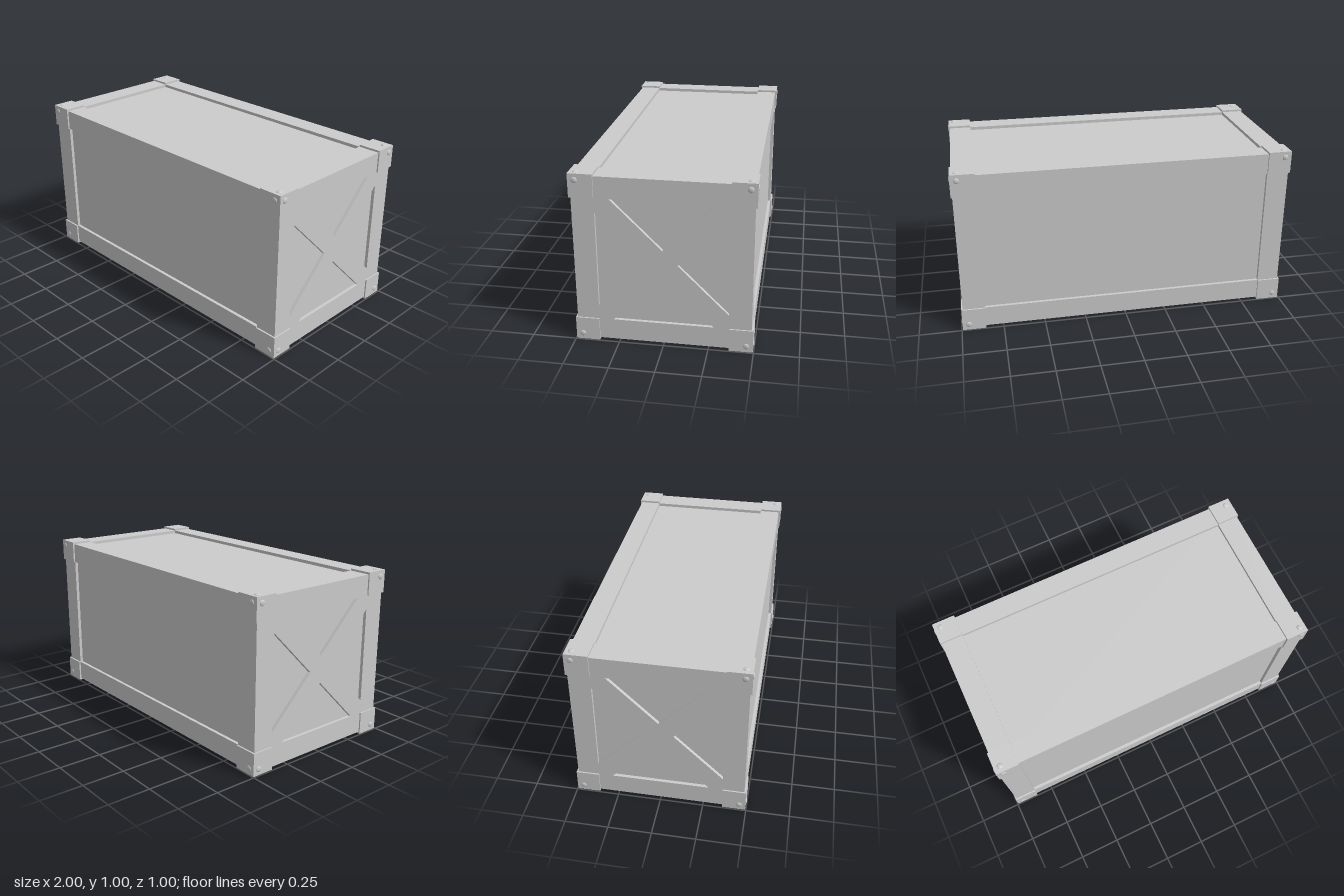
import * as THREE from 'three';

const MID = 0.497; // height of the crate's centre
const FRAME = { x: 0.986, y: 0.485, z: 0.486 }; // half sizes of the frame
const BLOCK = { x: 0.994, y: 0.497, z: 0.496 }; // half sizes over the corner blocks
const INNER = { x: 0.855, y: 0.362, z: 0.362 }; // inner edges of the boards
const RECESS = 0.019;

export function createModel() {
  const crate = new THREE.Group();
  crate.name = 'crate';
  const material = new THREE.MeshStandardMaterial({ color: 0xcccccc });

  const add = (geometry, name, x = 0, y = 0, z = 0) => {
    const mesh = new THREE.Mesh(geometry, material);
    mesh.name = name;
    mesh.position.set(x, y + MID, z);
    crate.add(mesh);
    return mesh;
  };

  // Recessed panels on all six sides
  add(new THREE.BoxGeometry(
    2 * (FRAME.x - RECESS), 2 * (FRAME.y - RECESS), 2 * (FRAME.z - RECESS)), 'panels');

  // End frame with a cross brace: a square plate with four triangular openings
  const plate = new THREE.Shape([
    new THREE.Vector2(-FRAME.z, -FRAME.y), new THREE.Vector2(FRAME.z, -FRAME.y),
    new THREE.Vector2(FRAME.z, FRAME.y), new THREE.Vector2(-FRAME.z, FRAME.y),
  ]);
  for (let i = 0; i < 4; i++) {
    const corners = [[-0.281, 0.362], [0, 0.081], [0.281, 0.362]];
    plate.holes.push(new THREE.Path(corners.map(([u, v]) =>
      new THREE.Vector2(u, v).rotateAround(new THREE.Vector2(), i * Math.PI / 2))));
  }
  const endGeometry = new THREE.ExtrudeGeometry(plate, {
    depth: FRAME.x - INNER.x, bevelEnabled: false,
  });
  endGeometry.translate(0, 0, INNER.x);

  // Dome-headed rivet pointing along +y
  const rivet = new THREE.SphereGeometry(0.017, 16, 6, 0, Math.PI * 2, 0, Math.PI / 2);
  rivet.scale(1, 0.006 / 0.017, 1);
  const up = new THREE.Vector3(0, 1, 0);
  const addRivet = (x, y, z, direction) =>
    add(rivet, 'rivet', x, y, z).quaternion.setFromUnitVectors(up, direction);

  const rail = new THREE.BoxGeometry(
    2 * INNER.x, FRAME.y - INNER.y, FRAME.z - INNER.z);
  const block = new THREE.BoxGeometry(
    BLOCK.x - INNER.x, BLOCK.y - INNER.y, BLOCK.z - INNER.z);
  const middle = (a, b) => (a + b) / 2;

  for (const sx of [-1, 1]) {
    add(endGeometry, 'endFrame').rotation.y = sx * Math.PI / 2;
  }

  for (const sy of [-1, 1]) {
    for (const sz of [-1, 1]) {
      // Long edge rails
      add(rail, 'edgeRail', 0, sy * middle(FRAME.y, INNER.y), sz * middle(FRAME.z, INNER.z));

      // Corner blocks with a rivet on each exposed face
      for (const sx of [-1, 1]) {
        add(block, 'cornerBlock', sx * middle(BLOCK.x, INNER.x),
          sy * middle(BLOCK.y, INNER.y), sz * middle(BLOCK.z, INNER.z));
        const rx = sx * 0.956, ry = sy * 0.461, rz = sz * 0.459;
        addRivet(sx * BLOCK.x, ry, rz, new THREE.Vector3(sx, 0, 0));
        addRivet(rx, ry, sz * BLOCK.z, new THREE.Vector3(0, 0, sz));
        if (sy > 0) addRivet(rx, BLOCK.y, rz, up);
      }
    }
  }
  return crate;
}
